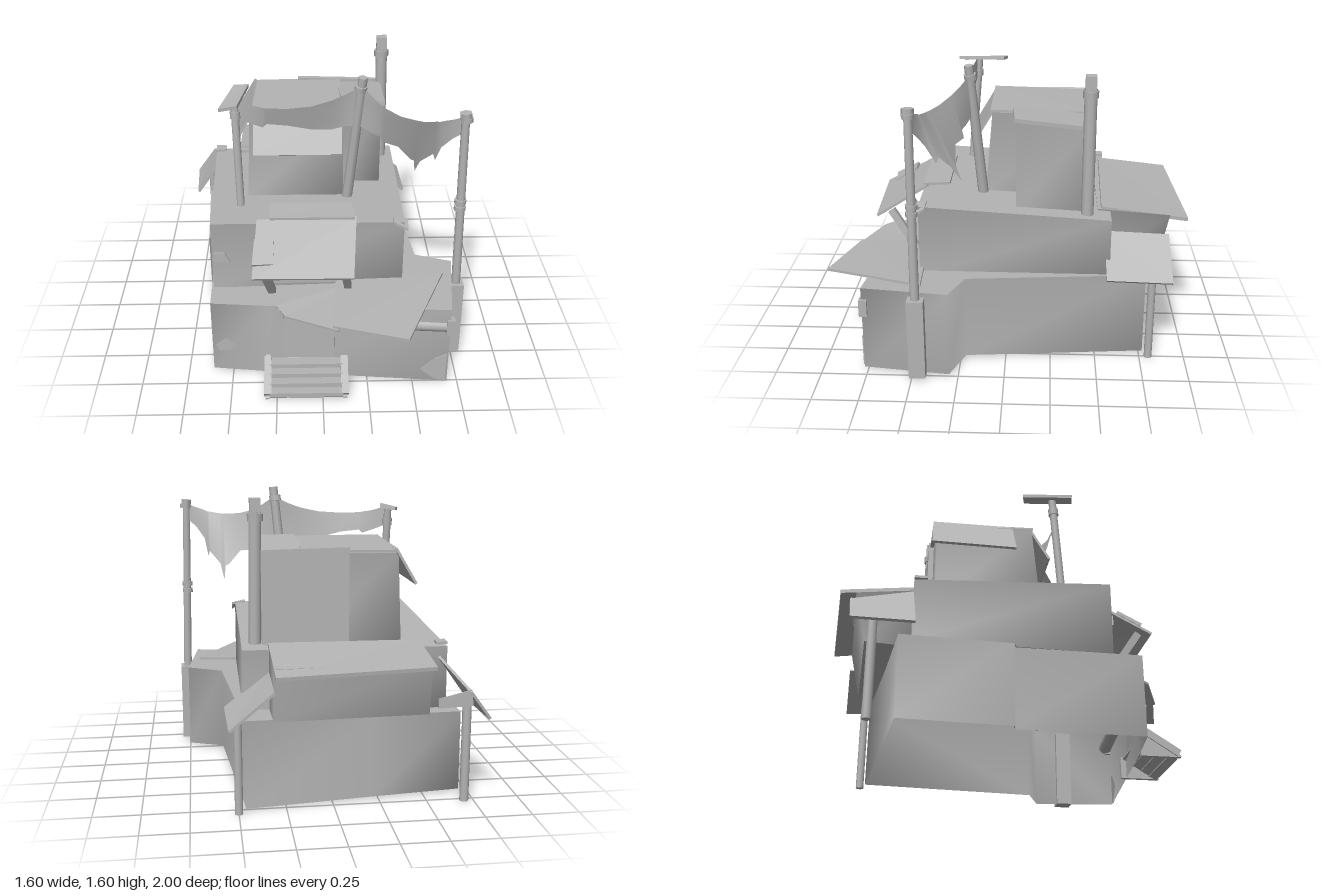
import * as THREE from 'three';

export function createModel() {
  const model = new THREE.Group();
  const plaster = new THREE.MeshStandardMaterial({ color: 0xb4b4b4, side: THREE.DoubleSide });
  plaster.name = 'plain grey';

  const add = (name, geometry) => {
    const mesh = new THREE.Mesh(geometry, plaster);
    mesh.name = name;
    model.add(mesh);
    return mesh;
  };

  // Solid between two matching rings of points, listed counterclockwise from the top side.
  // Soft walls shade smoothly around their corners; the caps stay flat.
  const hull = (name, low, high, { soft = false, openBottom = false } = {}) => {
    const n = low.length, index = [];
    for (let i = 0; i < n; i++) {
      const j = (i + 1) % n;
      index.push(i, j, n + j, i, n + j, n + i);
      if (i > 0 && i < n - 1) {
        index.push(3 * n, 3 * n + i, 3 * n + i + 1);
        if (!openBottom) index.push(2 * n, 2 * n + i + 1, 2 * n + i);
      }
    }
    let g = new THREE.BufferGeometry();
    g.setAttribute('position', new THREE.Float32BufferAttribute([low, high, low, high].flat(2), 3));
    g.setIndex(index);
    if (!soft) g = g.toNonIndexed();
    g.computeVertexNormals();
    return add(name, g);
  };

  // Thin board through convex corners
  const plate = (name, corners, t = 0.014) => {
    const [a, b, c] = corners.map(q => new THREE.Vector3(...q));
    const n = b.sub(a).cross(c.sub(a)).normalize().multiplyScalar(-t);
    return hull(name, corners.map(q => [q[0] + n.x, q[1] + n.y, q[2] + n.z]), corners);
  };

  // Round or square pole from a to b
  const pole = (name, a, b, r, sides = 10, r2 = r) => {
    const from = new THREE.Vector3(...a), dir = new THREE.Vector3(...b).sub(from), h = dir.length();
    const m = add(name, sides === 4 ? new THREE.BoxGeometry(r * 2, h, r * 2) : new THREE.CylinderGeometry(r2, r, h, sides));
    m.position.copy(from).addScaledVector(dir, 0.5);
    m.quaternion.setFromUnitVectors(new THREE.Vector3(0, 1, 0), dir.normalize());
    return m;
  };

  // Lower storey, open underneath, its wider rear part stepping in on the left
  const base = [[0.55, 0.22], [0.46, -0.77], [-0.22, -0.69], [-0.705, -0.64], [-0.67, -0.05], [-0.62, -0.05], [-0.61, 0.63], [-0.3, 0.67], [0.69, 0.77], [0.75, 0.3]];
  hull('lowerStorey', base.map(([x, z]) => [x, 0.012, z]),
    base.map(([x, z]) => [x, 0.475 + 0.03 * x, z]), { soft: true, openBottom: true });

  // Middle storey, sloping down to the back
  const middle = [[0.46, -0.57, 0.81], [-0.64, -0.57, 0.8], [-0.6, 0.48, 0.87], [0.45, 0.48, 0.87]];
  hull('middleStorey', middle.map(([x, z]) => [x, 0.46, z]), middle.map(([x, z, y]) => [x, y, z]), { soft: true });

  // Rear annex with its roof and side awnings
  hull('rearAnnex',
    [[0.32, 0.5, -0.84], [-0.49, 0.5, -0.81], [-0.49, 0.48, -0.5], [0.32, 0.48, -0.5]],
    [[0.32, 0.79, -0.9], [-0.49, 0.79, -0.87], [-0.49, 0.82, -0.5], [0.32, 0.82, -0.5]], { soft: true });
  plate('rearRoof', [[0.32, 0.775, -1], [-0.49, 0.79, -0.95], [-0.49, 0.835, -0.54], [0.32, 0.835, -0.52]], 0.02);
  plate('rearRightAwning', [[0.55, 0.485, -0.91], [0.32, 0.675, -0.9], [0.32, 0.69, -0.54], [0.56, 0.5, -0.55]]);
  plate('rearLeftAwning', [[-0.69, 0.64, -0.89], [-0.8, 0.49, -0.88], [-0.78, 0.495, -0.56], [-0.6, 0.75, -0.57]]);
  plate('rearLeftFlap', [[-0.69, 0.645, -0.885], [-0.52, 0.6, -0.875], [-0.52, 0.55, -0.875], [-0.7, 0.56, -0.885]], 0.008);
  pole('rearRightPost', [0.5, 0, -0.8], [0.5, 0.515, -0.8], 0.022);
  pole('rearLeftPost', [-0.7, 0, -0.77], [-0.7, 0.58, -0.77], 0.024);

  // Upper storey
  hull('upperStorey',
    [[0.13, 0.8, -0.45], [-0.41, 0.8, -0.45], [-0.41, 0.84, 0.13], [0.13, 0.84, 0.13]],
    [[0.13, 1.3, -0.45], [-0.39, 1.29, -0.45], [-0.39, 1.31, 0.09], [0.13, 1.31, 0.09]], { soft: true });
  plate('upperRoof', [[0.13, 1.32, -0.47], [-0.38, 1.31, -0.47], [-0.38, 1.325, 0.1], [0.13, 1.325, 0.1]]);
  plate('upperFrontAwning', [[0.12, 1.325, 0.09], [-0.37, 1.325, 0.09], [-0.37, 1.14, 0.2], [0.12, 1.14, 0.2]]);
  plate('upperLeftAwning', [[-0.38, 1.32, -0.47], [-0.49, 1.13, -0.48], [-0.48, 1.13, -0.01], [-0.38, 1.32, -0.02]]);
  hull('upperSideRoom',
    [[0.35, 0.8, -0.43], [0.1, 0.8, -0.43], [0.1, 0.8, -0.05], [0.35, 0.8, -0.05]],
    [[0.35, 1.29, -0.43], [0.1, 1.29, -0.43], [0.1, 1.33, -0.05], [0.35, 1.33, -0.05]], { soft: true });
  plate('sideRoomRoof', [[0.37, 1.31, -0.43], [0.11, 1.31, -0.43], [0.13, 1.35, -0.03], [0.37, 1.35, -0.04]], 0.022);
  hull('upperBackPanel',
    [[0.35, 0.8, -0.47], [-0.12, 0.8, -0.48], [-0.12, 0.8, -0.45], [0.35, 0.8, -0.44]],
    [[0.35, 1.32, -0.47], [-0.12, 1.33, -0.48], [-0.12, 1.33, -0.45], [0.35, 1.32, -0.44]]);

  // Chimney and tall poles
  pole('chimney', [0.385, 0.8, -0.44], [0.375, 1.52, -0.44], 0.034);
  pole('chimneyCollar', [0.375, 1.47, -0.44], [0.375, 1.51, -0.44], 0.042, 8);
  pole('chimneyCap', [0.375, 1.51, -0.44], [0.375, 1.59, -0.44], 0.029, 4);
  pole('leftPole', [-0.445, 0.82, 0.25], [-0.46, 1.47, 0.2], 0.022);
  pole('leftPoleBand', [-0.457, 1.37, 0.208], [-0.458, 1.41, 0.205], 0.029);
  plate('leftPoleBoard', [[-0.39, 1.5, 0.05], [-0.47, 1.49, 0.03], [-0.54, 1.465, 0.3], [-0.44, 1.49, 0.32]], 0.018);
  pole('middlePole', [0.15, 0.82, 0.14], [0.225, 1.6, 0.21], 0.03, 8, 0.025);
  pole('middlePoleBand', [0.213, 1.52, 0.2], [0.217, 1.55, 0.205], 0.034);
  pole('rightPoleFoot', [0.75, 0.01, 0.468], [0.75, 0.47, 0.468], 0.045, 4);
  pole('rightPole', [0.755, 0.44, 0.47], [0.735, 1.5, 0.47], 0.025, 10, 0.022);
  for (const y of [0.94, 0.98, 1.46]) pole('rightPoleBand', [0.742, y, 0.47], [0.742, y + 0.025, 0.47], 0.032);
  pole('rightPoleKnob', [0.738, 1.47, 0.47], [0.735, 1.51, 0.47], 0.033, 6);

  // Cloth between poles, its lower edge blown by drift in z; each stop is x, z, top y, bottom y
  const cloth = (name, stops, drift) => {
    const n = stops.length - 1, rows = 5;
    const g = new THREE.PlaneGeometry(1, 1, n, rows);
    const pos = g.attributes.position;
    for (let i = 0; i < pos.count; i++) {
      const [x, z, top, bottom] = stops[i % (n + 1)];
      const v = Math.floor(i / (n + 1)) / rows, drop = (top - bottom) * v;
      const sway = Math.sin(Math.PI * (i % (n + 1)) / n);
      pos.setXYZ(i, x, top - drop, z + drift * drop * sway);
    }
    g.computeVertexNormals();
    add(name, g);
  };
  cloth('leftBanner', [[-0.45, 0.21, 1.48, 1.37], [-0.37, 0.23, 1.455, 1.34], [-0.31, 0.245, 1.445, 1.32], [-0.29, 0.245, 1.442, 1.34],
    [-0.18, 0.25, 1.44, 1.33], [-0.05, 0.245, 1.45, 1.3], [0.06, 0.225, 1.475, 1.29], [0.14, 0.21, 1.505, 1.31], [0.215, 0.2, 1.545, 1.31]], -0.25);
  cloth('rightBanner', [[0.215, 0.2, 1.55, 1.31], [0.28, 0.25, 1.5, 1.28], [0.32, 0.285, 1.47, 1.27], [0.34, 0.3, 1.46, 1.23], [0.42, 0.35, 1.435, 1.22],
    [0.49, 0.385, 1.43, 1.14], [0.51, 0.395, 1.43, 1.13], [0.52, 0.4, 1.43, 1.05], [0.54, 0.41, 1.43, 1.14], [0.6, 0.425, 1.44, 1.21],
    [0.61, 0.43, 1.44, 1.18], [0.63, 0.44, 1.45, 1.28], [0.68, 0.455, 1.465, 1.35], [0.74, 0.47, 1.49, 1.4]], -0.45);

  // Window hood with its slanted supports
  plate('hoodTop', [[0.17, 0.91, 0.33], [-0.28, 0.915, 0.33], [-0.28, 0.905, 0.48], [0.18, 0.905, 0.48]]);
  plate('hood', [[0.19, 0.9, 0.46], [-0.35, 0.885, 0.46], [-0.37, 0.71, 0.77], [0.165, 0.7, 0.76]]);
  plate('hoodPatch', [[-0.255, 0.838, 0.58], [-0.36, 0.838, 0.58], [-0.37, 0.762, 0.715], [-0.26, 0.757, 0.705]], 0.02);
  pole('hoodSupport', [-0.27, 0.45, 0.52], [-0.315, 0.72, 0.7], 0.02, 4);
  pole('hoodSupport', [0.15, 0.47, 0.52], [0.115, 0.71, 0.68], 0.02, 4);
  plate('upperDoor', [[0.09, 0.82, 0.489], [-0.27, 0.82, 0.489], [-0.27, 0.49, 0.489], [0.09, 0.49, 0.489]], 0.009);

  // Porch roof boards and post
  plate('porchRoof', [[0.68, 0.52, 0.45], [0.08, 0.5, 0.47], [0.05, 0.485, 0.88], [0.44, 0.485, 1]]);
  plate('porchBoard', [[0.2, 0.5, 0.5], [-0.25, 0.49, 0.7], [-0.2, 0.478, 0.78], [0.08, 0.47, 0.9]]);
  pole('porchPost', [-0.225, 0.35, 0.72], [-0.225, 0.48, 0.72], 0.014, 4);

  // Front wall details, set along the angled wall
  const wallZ = x => 0.67 + (x + 0.3) * (x < -0.3 ? 0.13 : 0.101);
  const onWall = (name, pts, t = 0.009) => plate(name, pts.map(([x, y]) => [x, y, wallZ(x) + t]), t);
  onWall('frontDoor', [[0.065, 0.4], [-0.22, 0.4], [-0.22, 0.15], [0.065, 0.15]]);
  onWall('wallPatch', [[-0.48, 0.19], [-0.53, 0.23], [-0.59, 0.18], [-0.57, 0.145], [-0.51, 0.155]]);
  onWall('cornerPatch', [[0.68, 0.2], [0.62, 0.17], [0.54, 0.09], [0.62, 0.03], [0.68, 0.02]]);
  plate('middlePatch', [[-0.5, 0.63], [-0.53, 0.69], [-0.59, 0.69], [-0.595, 0.63]].map(([x, y]) => [x, y, 0.489]), 0.009);
  pole('windowRoll', [0.11, 0.38, 0.69], [0.68, 0.38, 0.74], 0.042);
  pole('windowRollEnd', [0.69, 0.335, 0.76], [0.69, 0.43, 0.76], 0.022, 4);

  // Torn scraps on the roof edges
  plate('roofScrap', [[0.47, 0.872, 0.44], [0.39, 0.88, 0.44], [0.39, 0.88, 0.49], [0.47, 0.835, 0.49]]);
  plate('roofScrap', [[-0.58, 0.825, -0.57], [-0.64, 0.825, -0.57], [-0.64, 0.825, -0.5], [-0.58, 0.825, -0.51]]);

  // Entrance steps between two side rails
  for (let i = 0; i < 4; i++) {
    const step = add('step', new THREE.BoxGeometry(0.4, 0.026, 0.06));
    step.position.set(-0.09, 0.035 + i * 0.03, 0.87 - i * 0.045);
  }
  plate('stepBoard', [[0.12, 0.135, 0.7], [-0.3, 0.135, 0.7], [-0.3, 0.015, 0.89], [0.12, 0.015, 0.89]]);
  for (const x of [-0.3, 0.12]) {
    pole('stepRail', [x, 0.03, 0.89], [x, 0.145, 0.71], 0.02, 4);
    hull('stepSide',
      [[x + 0.012, 0.01, 0.68], [x - 0.012, 0.01, 0.68], [x - 0.012, 0.01, 0.9], [x + 0.012, 0.01, 0.9]],
      [[x + 0.012, 0.14, 0.68], [x - 0.012, 0.14, 0.68], [x - 0.012, 0.02, 0.9], [x + 0.012, 0.02, 0.9]]);
  }

  return model;
}
